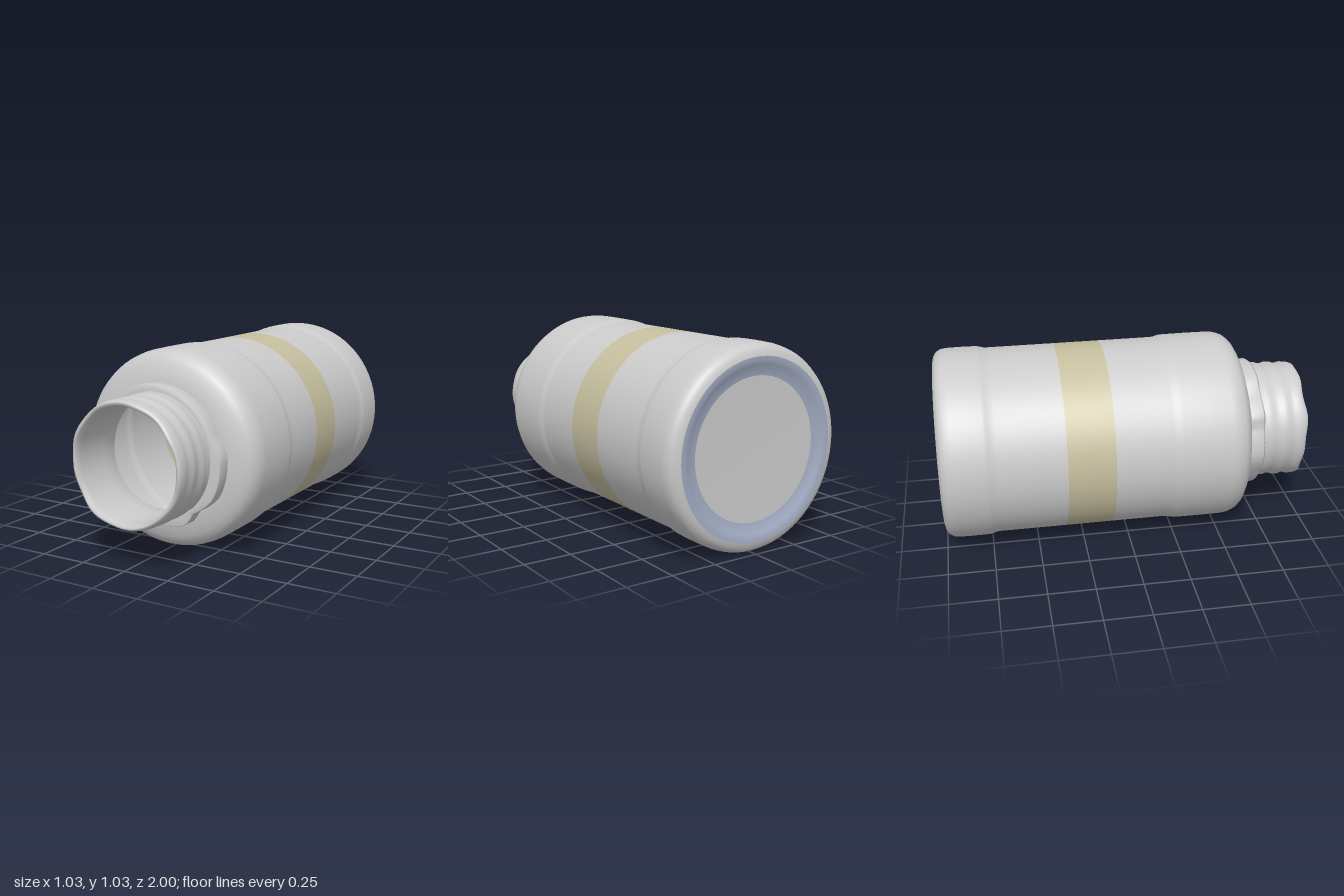
import * as THREE from 'three';

const AXIS_Y = 0.518;
const SEGMENTS = 72;

const grey = () => new THREE.MeshStandardMaterial({ color: 0xcccccc, side: THREE.DoubleSide });
const tinted = (color) => new THREE.MeshStandardMaterial({ color, side: THREE.DoubleSide });

// Turn a [radius, z] profile around the bottle's lengthwise axis
function turned(name, profile, material, deform) {
  const points = profile.map(([r, z]) => new THREE.Vector2(r, z));
  const geometry = new THREE.LatheGeometry(points, SEGMENTS);
  geometry.rotateX(Math.PI / 2);
  if (deform) {
    const p = geometry.attributes.position;
    for (let i = 0; i < p.count; i++) {
      const angle = Math.atan2(p.getY(i), p.getX(i));
      const [r, z] = deform(Math.hypot(p.getX(i), p.getY(i)), p.getZ(i), angle);
      p.setXYZ(i, r * Math.cos(angle), r * Math.sin(angle), z);
    }
    geometry.computeVertexNormals();
  }
  const mesh = new THREE.Mesh(geometry, material);
  mesh.name = name;
  return mesh;
}

// Torn, angular outline of the collar: [degrees, radius] corners
const COLLAR = [
  [-180, 0.36], [-172, 0.365], [-150, 0.345], [-120, 0.352], [-90, 0.354], [-62, 0.38],
  [-50, 0.35], [-29, 0.382], [5, 0.38], [20, 0.352], [60, 0.35], [90, 0.356],
  [114, 0.362], [128, 0.338], [152, 0.372], [160, 0.345], [180, 0.36],
];
function collarRadius(angle) {
  const a = THREE.MathUtils.radToDeg(angle);
  const k = Math.max(1, COLLAR.findIndex(([deg]) => deg >= a));
  const [a0, r0] = COLLAR[k - 1];
  const [a1, r1] = COLLAR[k];
  return THREE.MathUtils.mapLinear(a, a0, a1, r0, r1);
}

export function createModel() {
  const bottle = new THREE.Group();
  bottle.name = 'bottle';
  bottle.position.y = AXIS_Y;

  // Recessed floor and its discoloured standing rim
  bottle.add(turned('baseFloor', [[0, -0.972], [0.2, -0.973], [0.36, -0.976]], grey()));
  bottle.add(turned('baseRim', [
    [0.36, -0.976], [0.39, -0.981], [0.415, -0.993], [0.435, -0.999], [0.455, -1],
  ], tinted(0xa3adc4)));

  // Body: raised bands at both ends, slightly sunken label area between
  bottle.add(turned('rearBody', [
    [0.455, -1], [0.478, -0.994], [0.498, -0.98], [0.511, -0.957], [0.516, -0.925],
    [0.517, -0.85], [0.516, -0.765], [0.512, -0.745], [0.506, -0.725], [0.505, -0.7], [0.505, -0.35],
  ], grey()));
  bottle.add(turned('stainedBand', [[0.505, -0.35], [0.505, -0.1]], tinted(0xc6bf9f)));
  bottle.add(turned('frontBody', [
    [0.505, -0.1], [0.505, 0.2], [0.507, 0.22], [0.513, 0.24], [0.516, 0.26], [0.517, 0.4],
    [0.516, 0.52], [0.511, 0.555], [0.498, 0.588], [0.477, 0.612], [0.445, 0.63],
    [0.4, 0.645], [0.36, 0.654], [0.318, 0.658],
  ], grey()));

  // Broken sealing collar around the foot of the neck
  bottle.add(turned('collar', [
    [0.33, 0.652], [0.35, 0.652], [0.355, 0.66], [0.355, 0.695], [0.355, 0.725],
    [0.35, 0.734], [0.325, 0.734],
  ], grey(), (r, z, a) => [r > 0.34 ? r - 0.355 + collarRadius(a) : r, z]));

  // Neck with soft thread ridges, an uneven lip and an inner wall
  bottle.add(turned('neck', [
    [0.316, 0.65], [0.316, 0.745], [0.322, 0.765], [0.322, 0.79], [0.315, 0.81], [0.315, 0.835],
    [0.323, 0.855], [0.323, 0.88], [0.315, 0.9], [0.316, 0.925], [0.322, 0.945], [0.318, 0.975],
    [0.312, 0.99], [0.302, 0.992], [0.293, 0.982], [0.288, 0.95], [0.288, 0.85],
    [0.29, 0.75], [0.296, 0.66], [0.318, 0.652],
  ], grey(), (r, z, a) => {
    const lip = THREE.MathUtils.smoothstep(z, 0.9, 0.99);
    const wave = 0.006 * Math.cos(a) + 0.005 * Math.sin(5 * a) + 0.004 * Math.cos(9 * a + 1);
    return [r + 0.003 * Math.sin(3 * a + 14 * z), Math.min(1, z + lip * (wave - 0.003))];
  }));

  const model = new THREE.Group();
  model.name = 'lyingBottle';
  model.add(bottle);
  return model;
}
